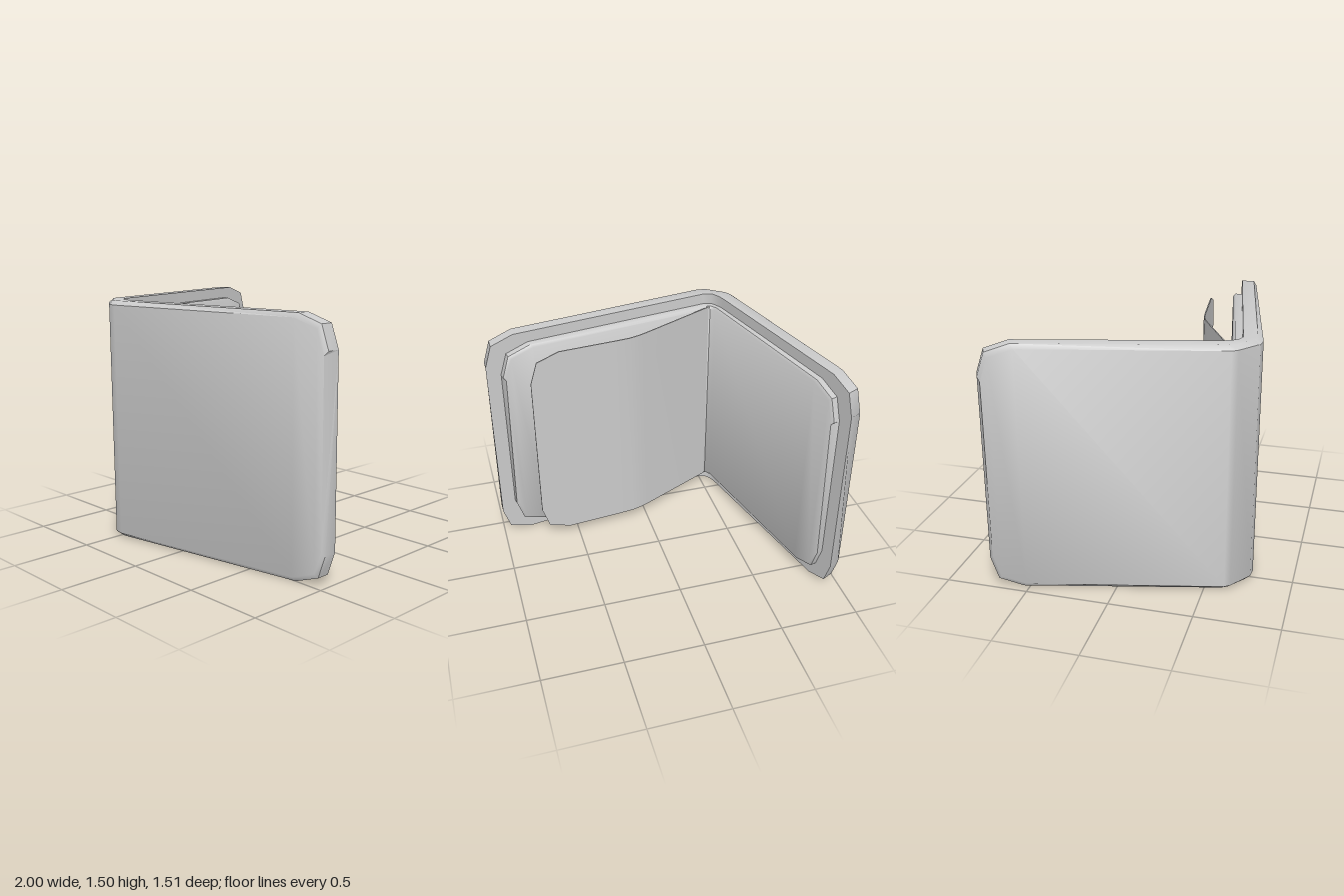
import * as THREE from 'three';
import { toCreasedNormals } from 'three/addons/utils/BufferGeometryUtils.js';

const MID = 0.75; // height of the horizontal symmetry plane

// Solid through a row of cross-sections; each is [x, z, halfHeight] from inside to outside
function loft(name, sections) {
  const loops = sections.map((s) => [
    ...s.map(([x, z, h]) => [x, MID + h, z]),
    ...[...s].reverse().map(([x, z, h]) => [x, MID - h, z]),
  ]);
  const n = loops[0].length, pos = [];
  const tri = (a, b, c) => pos.push(...a, ...b, ...c);
  for (let i = 0; i < loops.length - 1; i++) {
    for (let k = 0; k < n; k++) {
      const a = loops[i][k], b = loops[i][(k + 1) % n];
      const c = loops[i + 1][(k + 1) % n], d = loops[i + 1][k];
      tri(a, b, c);
      tri(a, c, d);
    }
  }
  const first = loops[0], last = loops[loops.length - 1];
  for (let k = 1; k < n - 1; k++) {
    tri(first[0], first[k + 1], first[k]);
    tri(last[0], last[k], last[k + 1]);
  }
  const geo = new THREE.BufferGeometry();
  geo.setAttribute('position', new THREE.Float32BufferAttribute(pos, 3));
  const mesh = new THREE.Mesh(
    toCreasedNormals(geo, 0.82),
    new THREE.MeshStandardMaterial({ color: 0xcccccc, side: THREE.DoubleSide })
  );
  mesh.name = name;
  return mesh;
}

const lerp = (a, b, t) => [a[0] + (b[0] - a[0]) * t, a[1] + (b[1] - a[1]) * t];
const along = (a, b, d) => lerp(a, b, d / Math.hypot(b[0] - a[0], b[1] - a[1]));

// Cut corners: [distance from the end, loss of half height]
const CORNER = [[0, 0.19], [0.045, 0.05], [0.19, 0]];

// Turns parallel plan paths, each with its half height, into sections with cut corners
function sectionsFrom(paths, heights, cutStart = true) {
  const n = paths[0].length;
  const at = (pick, drop) => paths.map((p, j) => [...pick(p), heights[j] - drop]);
  const out = [];
  if (cutStart) CORNER.forEach(([d, drop]) => out.push(at((p) => along(p[0], p[1], d), drop)));
  else out.push(at((p) => p[0], 0));
  for (let i = 1; i < n - 1; i++) out.push(at((p) => p[i], 0));
  [...CORNER].reverse().forEach(([d, drop]) =>
    out.push(at((p) => along(p[n - 1], p[n - 2], d), drop)));
  return out;
}

export function createModel() {
  const group = new THREE.Group();
  group.name = 'foldedWallet';

  // Outer cover, bent round the spine, with a softened outer edge
  const outer = [[-1, -0.7], [-0.69, 0.62], [-0.665, 0.652], [-0.53, 0.748], [-0.47, 0.755], [0.985, 0.483]];
  const inner = [[-0.915, -0.757], [-0.595, 0.54], [-0.58, 0.585], [-0.55, 0.63], [-0.5, 0.647], [1, 0.385]];
  const edge = outer.map((p, i) => lerp(p, inner[i], 0.28));
  edge[0] = [-0.985, -0.723];
  edge[5] = [1, 0.465];
  group.add(loft('cover', sectionsFrom([inner, edge, outer], [0.75, 0.75, 0.725])));

  // Raised lining set in from the cover's rim
  const base = [[-0.89, -0.67], [-0.595, 0.55], [-0.55, 0.635], [-0.5, 0.652], [0.91, 0.405]];
  const face = [[-0.838, -0.67], [-0.548, 0.56], [-0.525, 0.588], [-0.485, 0.585], [0.885, 0.346]];
  const shoulder = face.map((p, i) => lerp(p, base[i], 0.25));
  shoulder[0] = [-0.852, -0.682];
  shoulder[4] = [0.902, 0.357];
  group.add(loft('lining', sectionsFrom([face, shoulder, base], [0.665, 0.68, 0.68])));

  // Thin inner flap springing from the fold
  const flap = [[-0.52, 0.59], [-0.02, 0.346], [0.035, 0.322], [0.1, 0.302], [0.2, 0.289], [0.75, 0.23]];
  const flapBack = flap.map(([x, z]) => [x + 0.001, z + 0.007]);
  group.add(loft('innerFlap', sectionsFrom([flap, flapBack], [0.68, 0.68], false)));

  return group;
}
